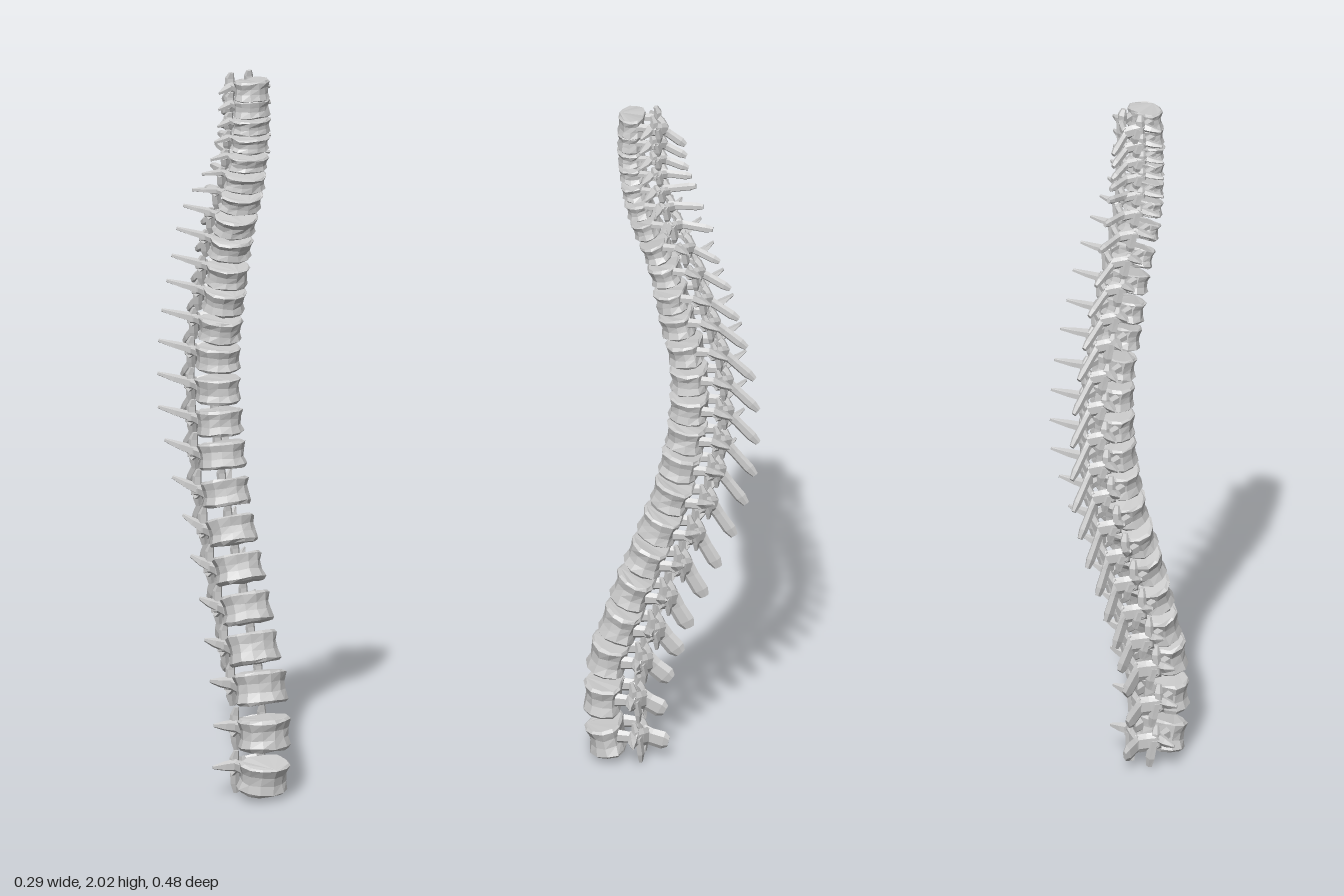
import * as THREE from 'three';

const material = new THREE.MeshStandardMaterial({ color: 0xcccccc, flatShading: true });
const YAW = -0.24;

// body centres from the lowest vertebra to the highest: x, y, z
const CENTRES = [
  [-.05, .052, .17], [-.055, .175, .178], [-.054, .30, .163], [-.048, .405, .13], [-.042, .51, .098],
  [-.034, .615, .06], [-.025, .715, .025], [-.015, .815, -.008], [-.008, .915, -.03], [-.002, 1.005, -.045],
  [0, 1.095, -.053], [0, 1.185, -.053], [-.002, 1.27, -.043], [-.008, 1.355, -.022], [-.013, 1.43, -.005],
  [-.018, 1.51, .012], [-.024, 1.58, .036], [-.03, 1.65, .064], [-.033, 1.71, .083], [-.033, 1.765, .095],
  [-.033, 1.82, .102], [-.033, 1.87, .106], [-.032, 1.92, .107], [-.03, 1.968, .105],
];

// key levels: index, body width, depth, height, side wing tip x y z, rear spine tip y z, rear spine half-height
const KEYS = [
  [0, .15, .115, .085, .11, .02, -.085, -.01, -.165, .028],
  [2, .155, .122, .09, .11, .015, -.085, -.065, -.165, .03],
  [4, .145, .122, .082, .09, .02, -.1, -.11, -.15, .026],
  [6, .14, .125, .076, .085, .03, -.12, -.12, -.155, .021],
  [9, .13, .125, .07, .115, .03, -.135, -.11, -.185, .016],
  [13, .125, .11, .062, .105, .04, -.13, -.065, -.185, .015],
  [16, .13, .09, .052, .105, .045, -.1, -.03, -.17, .013],
  [17, .13, .085, .046, .11, .03, -.075, 0, -.18, .013],
  [19, .12, .08, .04, .095, .01, -.04, .02, -.165, .012],
  [21, .115, .08, .04, .085, 0, -.035, -.03, -.155, .013],
  [23, .105, .08, .058, .082, -.005, -.035, -.055, -.145, .014],
];

function sample(i) {
  const k = Math.max(1, KEYS.findIndex((row) => row[0] >= i));
  const a = KEYS[k - 1], b = KEYS[k], t = (i - a[0]) / (b[0] - a[0]);
  return a.map((v, j) => v + (b[j] - v) * t).slice(1);
}

let seed = 7;
function jitter(amount) {
  seed = (seed * 16807) % 2147483647;
  return (seed / 2147483647 - 0.5) * 2 * amount;
}

// closed skin over a list of rings, with both ends capped
function loft(rings, name) {
  const pos = [], n = rings[0].length;
  const tri = (...pts) => pts.forEach((p) => pos.push(p.x, p.y, p.z));
  for (let k = 0; k < rings.length - 1; k++) {
    for (let i = 0; i < n; i++) {
      const j = (i + 1) % n, a = rings[k], b = rings[k + 1];
      tri(a[i], a[j], b[j]);
      tri(a[i], b[j], b[i]);
    }
  }
  const last = rings[rings.length - 1];
  for (let i = 1; i < n - 1; i++) {
    tri(rings[0][0], rings[0][i + 1], rings[0][i]);
    tri(last[0], last[i], last[i + 1]);
  }
  const geo = new THREE.BufferGeometry();
  geo.setAttribute('position', new THREE.Float32BufferAttribute(pos, 3));
  geo.computeVertexNormals();
  const mesh = new THREE.Mesh(geo, material);
  mesh.name = name;
  return mesh;
}

// bony prong through stations [x, y, z, half-width, half-height]
function prong(name, stations, sides = 6) {
  const pts = stations.map((s) => new THREE.Vector3(s[0], s[1], s[2]));
  const w = pts[pts.length - 1].clone().sub(pts[0]).normalize();
  const ref = Math.abs(w.y) > 0.95 ? new THREE.Vector3(0, 0, 1) : new THREE.Vector3(0, 1, 0);
  const u = ref.cross(w).normalize(), v = w.clone().cross(u);
  return loft(stations.map((s, k) => Array.from({ length: sides }, (_, i) => {
    const a = ((i + 0.5) / sides) * Math.PI * 2;
    return pts[k].clone().addScaledVector(u, Math.cos(a) * s[3]).addScaledVector(v, Math.sin(a) * s[4]);
  })), name);
}

// waisted drum with a flattened back
function vertebralBody(w, d, h) {
  const rows = [[-.5, .9], [-.4, 1], [-.12, .9], [.15, .9], [.42, 1], [.5, .9]];
  return loft(rows.map(([y, s]) => Array.from({ length: 12 }, (_, i) => {
    const a = (i / 12) * Math.PI * 2;
    const z = Math.max(Math.cos(a), -0.72) * d * 0.52;
    return new THREE.Vector3(
      Math.sin(a) * w * 0.5 * s + jitter(.002), y * h + jitter(.0025), z * s + jitter(.002));
  })), 'vertebralBody');
}

function vertebra(i) {
  const [w, d, h, tx, ty, tz, sy, sz, st] = sample(i);
  const group = new THREE.Group();
  group.position.set(...CENTRES[i]);
  group.rotation.y = YAW;

  // body follows the curve of the column
  const a = CENTRES[Math.max(0, i - 1)], b = CENTRES[Math.min(23, i + 1)];
  const pitch = i === 0 ? 0.2 : Math.atan2(b[2] - a[2], b[1] - a[1]);
  const body = vertebralBody(w, d, h);
  body.rotation.x = pitch;
  group.add(body);

  // neural arch, side wings and facets, mirrored
  const back = -d / 2, px = w * 0.3;
  const py = h * 0.12 + 0.05 * Math.sin(pitch);
  const rootZ = back - 0.045;
  for (const side of [-1, 1]) {
    const x = side * px;
    group.add(
      prong('pedicle', [[x, py, back + .025, .013, h * .24], [x, py, back - .005, .011, h * .2],
        [x * 1.05, py - .004, back - .03, .015, h * .27]]),
      prong('lamina', [[x * 1.15, py - .002, back - .018, .013, h * .3], [x * .6, py - .008, rootZ + .008, .01, h * .32],
        [0, py - .016, rootZ - .006, .009, h * .32]]),
      prong('sideWing', [[x * .9, py, back - .014, .016, h * .22],
        [(x + side * tx) / 2, (py + ty) / 2, (back - .016 + tz) / 2, .013, h * .16],
        [side * tx, ty, tz, .003, .005]], 5),
      prong('upperFacet', [[x, py - .005, back - .022, .015, .012], [x * .95, h * .45, back - .024, .014, .011],
        [x * .9, h * .72, back - .018, .008, .006]], 5),
      prong('lowerFacet', [[x * .9, py, back - .03, .014, .012], [x * .75, -h * .4, back - .036, .014, .011],
        [x * .65, -h * .72, back - .036, .009, .006]], 5),
    );
  }

  // rear spine swells slightly before its blunt tip
  const mix = (t, y0, y1) => y0 + (y1 - y0) * t;
  const spine = [[0, .013, 1.1], [.35, .009, .95], [.8, .01, 1], [1, .006, .6]];
  group.add(prong('rearSpine', spine.map(([t, hw, s]) =>
    [0, mix(t, py - .012, sy), mix(t, rootZ + .01, sz), hw, st * s])));
  return group;
}

export function createModel() {
  const model = new THREE.Group();
  model.name = 'spine';
  const regions = [['lumbarVertebra', 0, 5], ['thoracicVertebra', 5, 17], ['cervicalVertebra', 17, 24]];
  for (const [name, from, to] of regions) {
    for (let i = from; i < to; i++) {
      const v = vertebra(i);
      v.name = name;
      model.add(v);
    }
  }
  return model;
}
